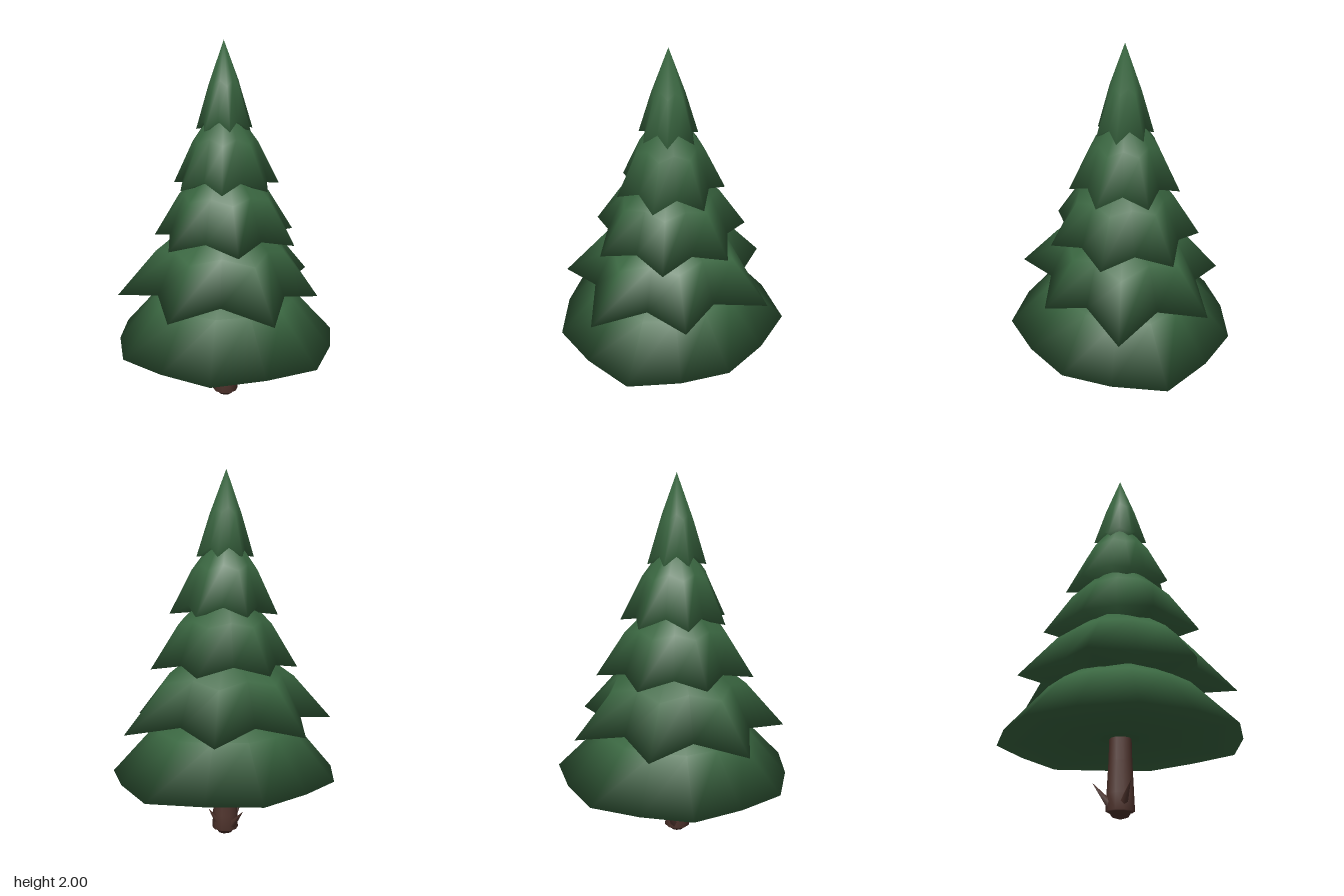
import * as THREE from 'three';

const SIDES = 7; // branch tips per tier
const AXIS_X = -0.04, AXIS_Z = 0.015;

// One hollow-looking skirt of needles: star-shaped rim, rounded shoulder, peak and underside,
// sharing vertices so that it shades softly over the rim.
function tierGeometry({ y, height, phase, tips, notches, lift, shoulder, rise }) {
  const n = SIDES * 2;
  const positions = [];
  const index = [];
  const ring = (scale, up, softness) => {
    for (let i = 0; i < n; i++) {
      const k = i >> 1;
      const a = THREE.MathUtils.degToRad(phase) + (i / n) * Math.PI * 2;
      const notch = i % 2 === 1;
      const between = (tips[k] + tips[(k + 1) % SIDES]) / 2;
      const r = scale * (notch ? THREE.MathUtils.lerp(between * notches, between, softness) : tips[k]);
      positions.push(r * Math.cos(a), y + up + (notch ? lift * (1 - softness) : 0), r * Math.sin(a));
    }
  };
  ring(1, 0, 0);
  ring(shoulder, rise, 0.4);
  positions.push(0, y + height, 0, 0, y + 0.02, 0);
  const peak = n * 2, under = n * 2 + 1;
  for (let i = 0; i < n; i++) {
    const j = (i + 1) % n;
    index.push(i, n + i, j, j, n + i, n + j);
    index.push(n + i, peak, n + j);
    index.push(under, i, j);
  }
  const geometry = new THREE.BufferGeometry();
  geometry.setAttribute('position', new THREE.Float32BufferAttribute(positions, 3));
  geometry.setIndex(index);
  geometry.computeVertexNormals();
  return geometry;
}

export function createModel() {
  const needles = new THREE.MeshStandardMaterial({ color: 0x3a6741 });
  needles.name = 'needleGreen';
  const bark = new THREE.MeshStandardMaterial({ color: 0x50342d });
  bark.name = 'barkBrown';

  const tree = new THREE.Group();
  tree.name = 'pineTree';
  tree.position.set(AXIS_X, 0, AXIS_Z);
  const add = (name, geometry, material, parent = tree) => {
    const mesh = new THREE.Mesh(geometry, material);
    mesh.name = name;
    parent.add(mesh);
    return mesh;
  };

  // Foliage tiers, from the bottom up
  const tiers = [
    { y: 0.38, height: 0.5, phase: -107, notches: 0.95, lift: 0.005, shoulder: 0.63, rise: 0.25,
      tips: [0.68, 0.62, 0.66, 0.65, 0.63, 0.61, 0.63] },
    { y: 0.655, height: 0.51, phase: -85, notches: 0.73, lift: 0.05, shoulder: 0.64, rise: 0.24,
      tips: [0.615, 0.525, 0.615, 0.59, 0.59, 0.55, 0.585] },
    { y: 0.96, height: 0.49, phase: -71, notches: 0.78, lift: 0.04, shoulder: 0.64, rise: 0.23,
      tips: [0.42, 0.42, 0.435, 0.42, 0.385, 0.41, 0.435] },
    { y: 1.245, height: 0.48, phase: -111, notches: 0.78, lift: 0.05, shoulder: 0.61, rise: 0.23,
      tips: [0.3, 0.305, 0.295, 0.29, 0.28, 0.285, 0.3] },
    { y: 1.545, height: 0.455, phase: -73, notches: 0.76, lift: 0.05, shoulder: 0.56, rise: 0.22,
      tips: [0.168, 0.155, 0.155, 0.157, 0.147, 0.15, 0.155] },
  ];
  tiers.forEach((tier, i) => add(`foliageTier${i + 1}`, tierGeometry(tier), needles));

  // Trunk with a blunt, rounded foot
  const profile = [[0, 0], [0.04, 0.012], [0.055, 0.035], [0.072, 0.038], [0.068, 0.12], [0.06, 0.28], [0.055, 0.46]]
    .map(([r, y]) => new THREE.Vector2(r, y));
  add('trunk', new THREE.LatheGeometry(profile, 10), bark).position.x = 0.007;

  // Short broken twigs low on the trunk
  const twigs = new THREE.Group();
  twigs.name = 'twigs';
  tree.add(twigs);
  const up = new THREE.Vector3(0, 1, 0);
  for (const [x, z] of [[-0.14, 0.01], [0.02, 0.138], [0.01, -0.115]]) {
    const tip = new THREE.Vector3(x, 0.168, z);
    const root = new THREE.Vector3(x * 0.3, 0.06, z * 0.3);
    const direction = tip.clone().sub(root);
    const length = direction.length();
    const twig = add('twig', new THREE.ConeGeometry(0.024, length, 5), bark, twigs);
    twig.position.copy(root).add(tip).multiplyScalar(0.5);
    twig.quaternion.setFromUnitVectors(up, direction.normalize());
  }

  const model = new THREE.Group();
  model.name = 'model';
  model.add(tree);
  return model;
}
